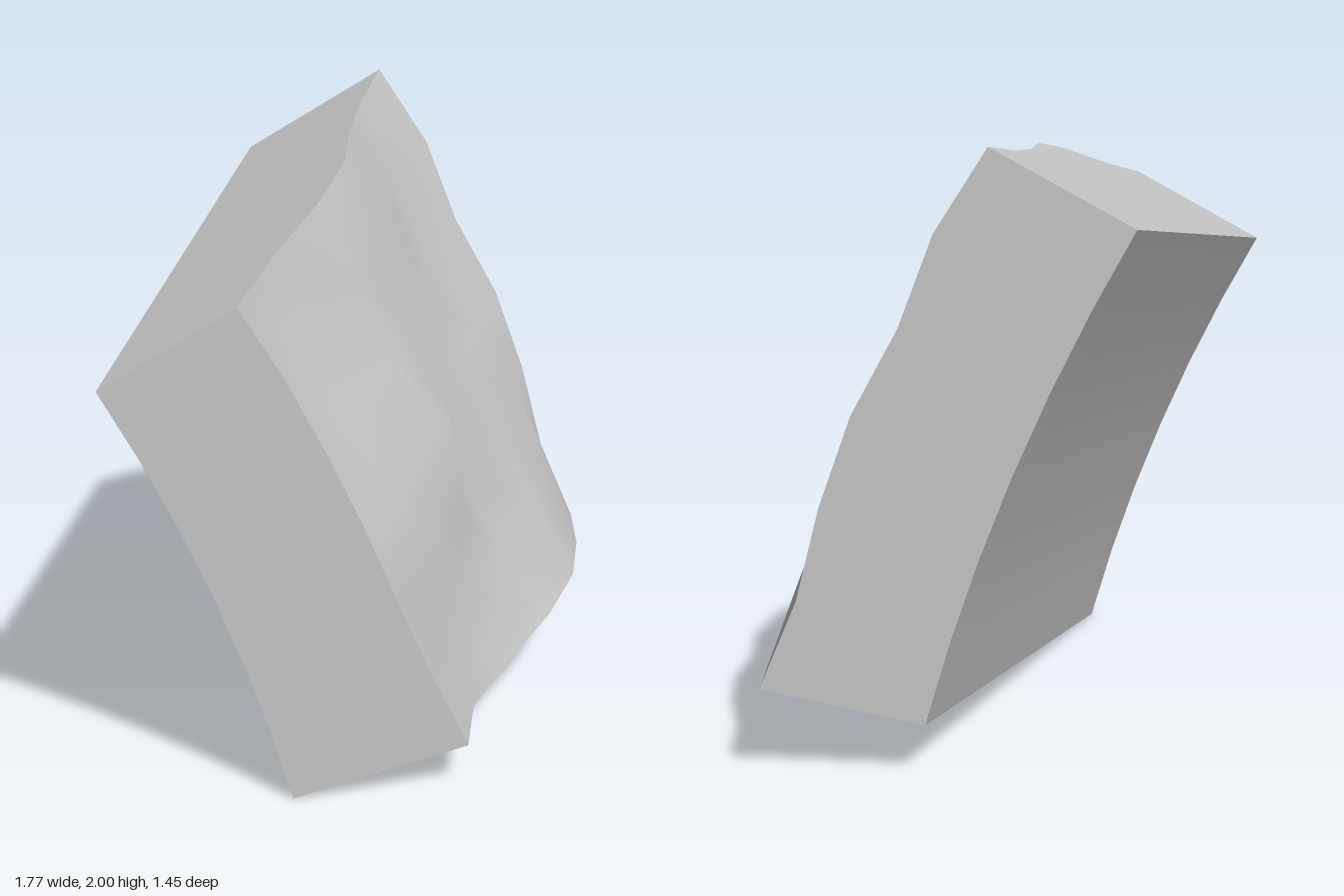
import * as THREE from 'three';

const N = 6; // cells per side of the block
const CENTER = { x: -5.9, y: -1.5 }; // axis the block curves around
const HALF_DEPTH = 0.724;

// Radius of the rough outer face: rows run top to bottom, columns front to back
const OUTER = [
  [6.28, 6.43, 6.63, 6.76, 6.81, 6.89, 7.005],
  [6.29, 6.36, 6.61, 6.76, 6.82, 6.86, 7.025],
  [6.295, 6.38, 6.59, 6.70, 6.78, 6.85, 6.995],
  [6.30, 6.42, 6.68, 6.69, 6.80, 6.89, 7.02],
  [6.305, 6.49, 6.62, 6.63, 6.83, 6.95, 7.01],
  [6.325, 6.40, 6.51, 6.69, 6.87, 6.97, 6.985],
  [6.37, 6.43, 6.60, 6.79, 6.925, 6.99, 7.02],
];

function point(row, col, radius) {
  const a = THREE.MathUtils.degToRad(30 - (15 * row) / N);
  return [
    CENTER.x + radius * Math.cos(a),
    CENTER.y + radius * Math.sin(a),
    HALF_DEPTH * (1 - (2 * col) / N),
  ];
}
const outer = (row, col) => point(row, col, OUTER[row][col]);
const inner = (row, col) => point(row, col, 5.79 + (0.7 * col) / N);

// Smooth sheet over a grid of points; its front is along u cross v
function sheet(nu, nv, at, flip = false) {
  const positions = [], index = [];
  for (let u = 0; u <= nu; u++)
    for (let v = 0; v <= nv; v++) positions.push(...at(flip ? nu - u : u, v));
  for (let u = 0; u < nu; u++)
    for (let v = 0; v < nv; v++) {
      const a = u * (nv + 1) + v, b = a + nv + 1;
      index.push(a, b, b + 1, a, b + 1, a + 1);
    }
  const geometry = new THREE.BufferGeometry();
  geometry.setAttribute('position', new THREE.Float32BufferAttribute(positions, 3));
  geometry.setIndex(index);
  geometry.computeVertexNormals();
  return geometry;
}

export function createModel() {
  const group = new THREE.Group();
  group.name = 'stoneBlock';
  const stone = new THREE.MeshStandardMaterial({ color: 0xc7c7c7 });
  stone.name = 'pale stone grey';

  const add = (name, geometry) => {
    const mesh = new THREE.Mesh(geometry, stone);
    mesh.name = name;
    group.add(mesh);
  };
  const pick = (row, col, v) => (v ? outer(row, col) : inner(row, col));

  // Rough weathered face and smooth conical back
  add('roughFace', sheet(N, N, outer));
  add('smoothFace', sheet(N, N, inner, true));
  // Flat cut sides
  add('frontSide', sheet(N, 1, (u, v) => pick(u, 0, v)));
  add('backSide', sheet(N, 1, (u, v) => pick(u, N, v), true));
  add('topSide', sheet(N, 1, (u, v) => pick(0, u, v), true));
  add('bottomSide', sheet(N, 1, (u, v) => pick(N, u, v)));
  return group;
}
